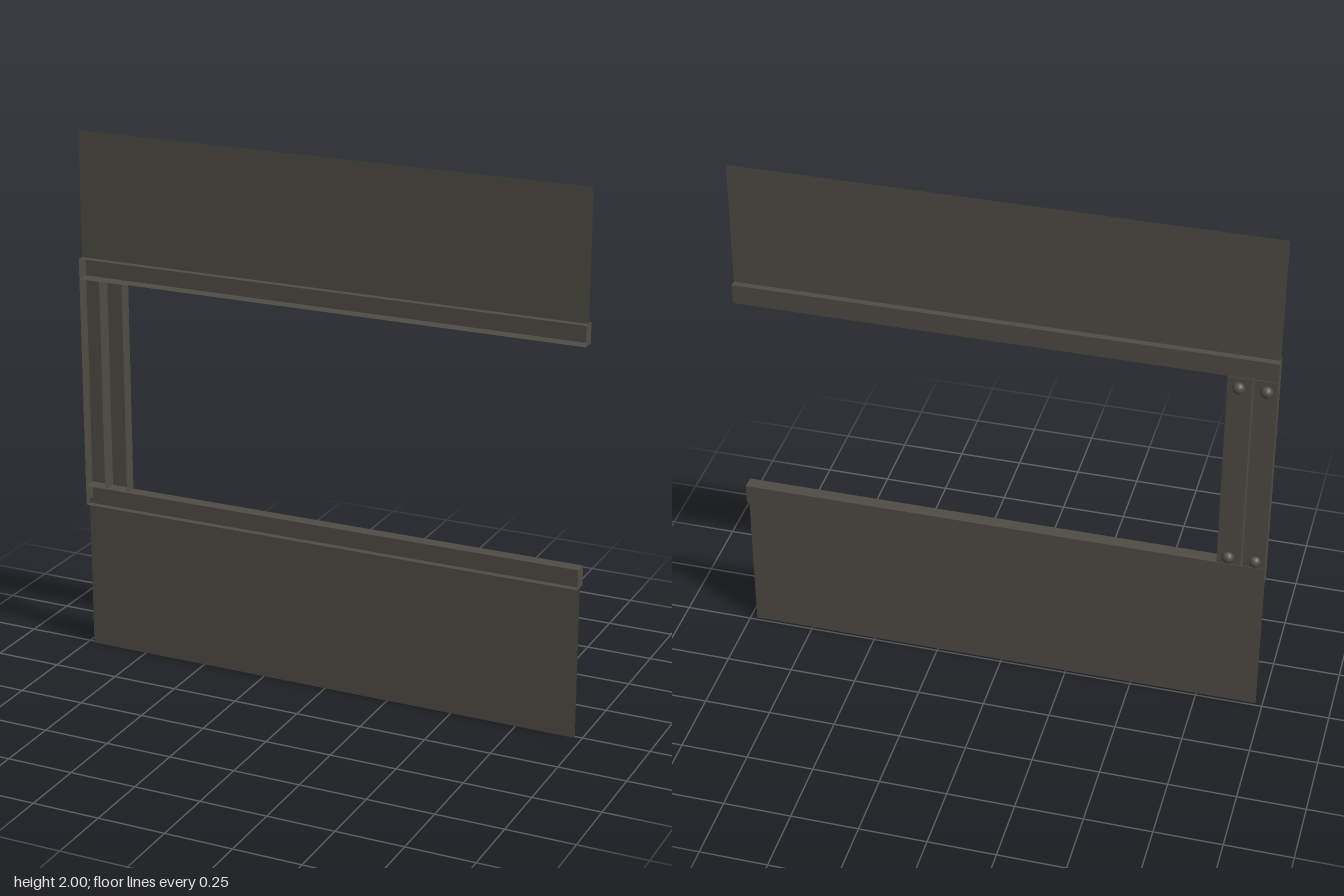
import * as THREE from 'three';

const BACK = -0.013, FRONT = 0.036, HALF = 0.975;

export function createModel() {
  const model = new THREE.Group();
  model.name = 'framedWallOpening';
  const steel = new THREE.MeshStandardMaterial({ color: 0x4f4b44, side: THREE.DoubleSide });
  steel.name = 'darkSteel';

  function add(name, geometry, x, y, z, parent = model) {
    const mesh = new THREE.Mesh(geometry, steel);
    mesh.name = name;
    mesh.position.set(x, y, z);
    parent.add(mesh);
    return mesh;
  }

  // Pressed sheet tray: a box without its front face
  function tray(name, x0, x1, y0, y1) {
    const g = new THREE.BoxGeometry(x1 - x0, y1 - y0, FRONT - BACK);
    const index = Array.from(g.index.array);
    index.splice(24, 6);
    g.setIndex(index);
    g.clearGroups();
    add(name, g, (x0 + x1) / 2, (y0 + y1) / 2, (FRONT + BACK) / 2);
  }

  // Sheet panels, their inner edges tucked into the rails
  function panel(name, y0, y1) {
    add(name, new THREE.PlaneGeometry(HALF * 2, y1 - y0), 0, (y0 + y1) / 2, 0.011);
  }
  panel('lowerPanel', 0, 0.594);
  panel('upperPanel', 1.525, 2);

  // Horizontal rails bordering the opening
  tray('lowerRail', -HALF, HALF, 0.574, 0.649);
  tray('upperRail', -HALF, HALF, 1.454, 1.529);

  // Pair of upright channels with a narrow gap between them
  tray('outerPost', -HALF, -0.893, 0.651, 1.452);
  tray('innerPost', -0.887, -0.8, 0.651, 1.452);

  // Domed bolts on the back of each post
  const dome = new THREE.SphereGeometry(0.023, 12, 5, 0, Math.PI * 2, 0, Math.PI / 2);
  dome.rotateX(-Math.PI / 2);
  const bolts = new THREE.Group();
  bolts.name = 'bolts';
  model.add(bolts);
  for (const x of [-0.937, -0.84]) {
    for (const y of [0.68, 1.41]) add('bolt', dome, x, y, BACK, bolts);
  }
  return model;
}
